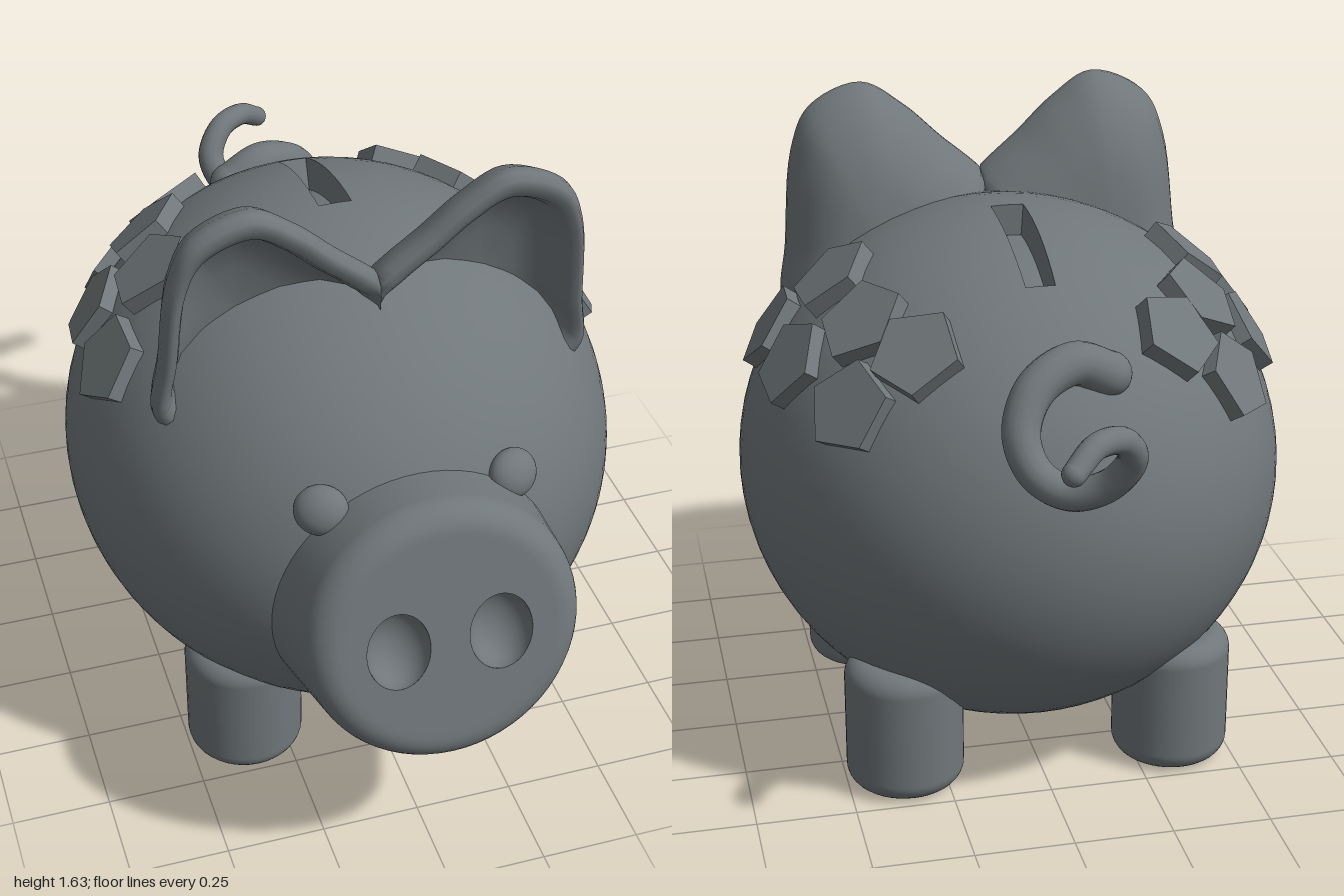
import * as THREE from 'three';
import { mergeGeometries } from 'three/addons/utils/BufferGeometryUtils.js';

const clay = new THREE.MeshStandardMaterial({ color: 0x70777a, side: THREE.DoubleSide });
clay.name = 'slateClay';

// Body ellipsoid
const C = new THREE.Vector3(0, 0.72, 0.03);
const R = new THREE.Vector3(0.7, 0.67, 0.755);

function add(parent, name, geometry) {
  const mesh = new THREE.Mesh(geometry, clay);
  mesh.name = name;
  parent.add(mesh);
  return mesh;
}

function faceted(geometry) {
  const g = geometry.index ? geometry.toNonIndexed() : geometry;
  g.computeVertexNormals();
  return g;
}

const bodyNormal = (p) => p.clone().sub(C).divide(R).divide(R).normalize();

// Profile of a quarter round, from angle a0 to a1
function arc(cx, cy, r, a0, a1, n = 8) {
  return Array.from({ length: n + 1 }, (_, i) => {
    const a = a0 + (a1 - a0) * i / n;
    return new THREE.Vector2(cx + r * Math.cos(a), cy + r * Math.sin(a));
  });
}

// Ellipsoid shell left open at the coin slot, with slot walls and floor
function buildBody(group) {
  const half = 0.06, top = Math.PI * 1.5, deg = Math.PI / 180, depth = 0.12;
  const place = (g) => g.scale(R.x, R.y, R.z).translate(C.x, C.y, C.z);
  const patch = (phi, len, seg, t0, t1, r = 1) => place(
    new THREE.SphereGeometry(r, seg, (t1 - t0) / 3.75, phi, len, t0 * deg, (t1 - t0) * deg).rotateX(Math.PI / 2));
  add(group, 'body', mergeGeometries([
    patch(top + half, Math.PI * 2 - 2 * half, 72, 0, 180),
    patch(top - half, 2 * half, 2, 0, 90),
    patch(top - half, 2 * half, 2, 120, 180),
  ]));
  add(group, 'coinSlotFloor', patch(top - half, 2 * half, 2, 90, 120, 1 - depth));
  const corners = [[-half, 90], [half, 90], [half, 120], [-half, 120], [-half, 90]];
  const walls = new THREE.PlaneGeometry(1, 1, 32, 1);
  const pos = walls.attributes.position;
  for (let i = 0; i < pos.count; i++) {
    const u = (pos.getX(i) + 0.5) * 4, k = Math.min(3, Math.floor(u + 1e-6)), f = u - k;
    const a = corners[k][0] + (corners[k + 1][0] - corners[k][0]) * f;
    const t = (corners[k][1] + (corners[k + 1][1] - corners[k][1]) * f) * deg;
    const r = pos.getY(i) > 0 ? 1 : 1 - depth;
    pos.setXYZ(i, r * Math.sin(t) * Math.sin(a), r * Math.sin(t) * Math.cos(a), r * Math.cos(t));
  }
  add(group, 'coinSlotWalls', faceted(place(walls)));
}

// Tilted cone snout with two hollow nostrils
function buildSnout(group) {
  const snout = new THREE.Group();
  snout.name = 'snout';
  snout.position.set(0, 0.75, 0.935);
  snout.rotation.x = 1.334;
  group.add(snout);
  const profile = [new THREE.Vector2(0.38, -0.5), new THREE.Vector2(0.37, -0.4),
    ...arc(0.265, -0.07, 0.07, 0.1, Math.PI / 2), new THREE.Vector2(0.25, 0)];
  add(snout, 'snoutSide', new THREE.LatheGeometry(profile, 64));
  const disc = new THREE.Shape().absarc(0, 0, 0.25, 0, Math.PI * 2);
  for (const s of [-1, 1]) {
    disc.holes.push(new THREE.Path().absellipse(s * 0.125, -0.01, 0.077, 0.098, 0, Math.PI * 2));
    const bowl = new THREE.SphereGeometry(1, 48, 16, 0, Math.PI * 2, Math.PI / 2, Math.PI / 2);
    add(snout, 'nostril', bowl.scale(0.077, 0.07, 0.098)).position.set(s * 0.125, 0, 0.01);
  }
  add(snout, 'snoutFace', new THREE.ShapeGeometry(disc, 32).rotateX(-Math.PI / 2));
}

// Cupped ear: one outline lofted from the back, over the rim, into the hollow
function earGeometry() {
  const outline = new THREE.CatmullRomCurve3([
    [0.545, 1.08], [0.53, 1.22], [0.502, 1.47], [0.45, 1.58], [0.31, 1.637], [0.2, 1.575],
    [0.1, 1.485], [0, 1.4], [-0.07, 1.32], [0.02, 1.15], [0.25, 1.02], [0.5, 1.03],
  ].map(([x, y]) => new THREE.Vector3(x, y, 0)), true, 'centripetal').getPoints(72);
  // scale about the ear's middle, depth
  const rings = [[0, 0.185], [0.35, 0.19], [0.6, 0.21], [0.8, 0.25], [0.93, 0.295], [0.99, 0.34],
    [0.99, 0.365], [0.95, 0.385], [0.88, 0.39], [0.81, 0.375], [0.76, 0.345], [0.72, 0.305],
    [0.6, 0.27], [0.35, 0.25], [0, 0.245]];
  const g = new THREE.PlaneGeometry(1, 1, 72, rings.length - 1);
  const pos = g.attributes.position;
  for (let i = 0; i < pos.count; i++) {
    const [s, z] = rings[Math.floor(i / 73)], p = outline[i % 73];
    const y = 1.28 + (p.y - 1.28) * s;
    pos.setXYZ(i, Math.max(0, 0.31 + (p.x - 0.31) * s), y, z + 0.11 * (y - 1.28));
  }
  g.computeVertexNormals();
  return g;
}

// Curly tail: a tube that narrows to the tip, with round ends
function buildTail(group) {
  const path = new THREE.CatmullRomCurve3([
    [-0.12, 1.14, -0.54], [-0.03, 1.18, -0.56], [0.07, 1.14, -0.6], [0.115, 1.05, -0.65],
    [0.09, 0.97, -0.7], [0.02, 0.935, -0.745], [-0.06, 0.97, -0.79], [-0.1, 1.05, -0.835],
    [-0.06, 1.115, -0.88], [0.01, 1.125, -0.925], [0.07, 1.085, -0.97],
  ].map((p) => new THREE.Vector3(...p)));
  const N = 96, M = 16, r0 = 0.055, r1 = 0.028;
  const tube = new THREE.TubeGeometry(path, N, r0, M);
  const pos = tube.attributes.position, v = new THREE.Vector3();
  for (let i = 0; i < pos.count; i++) {
    const t = Math.floor(i / (M + 1)) / N, c = path.getPointAt(t);
    v.fromBufferAttribute(pos, i).sub(c).multiplyScalar(1 + (r1 / r0 - 1) * t).add(c);
    pos.setXYZ(i, v.x, v.y, v.z);
  }
  add(group, 'tail', tube);
  add(group, 'tailRoot', new THREE.SphereGeometry(r0, 24, 16)).position.copy(path.getPoint(0));
  add(group, 'tailTip', new THREE.SphereGeometry(r1, 24, 16)).position.copy(path.getPoint(1));
}

export function createModel() {
  const model = new THREE.Group();
  model.name = 'piggyBank';
  buildBody(model);
  buildSnout(model);
  buildTail(model);

  const leg = new THREE.LatheGeometry([new THREE.Vector2(0, 0), ...arc(0.1, 0.05, 0.05, -Math.PI / 2, 0),
    ...arc(0.1, 0.3, 0.05, 0, Math.PI / 2), new THREE.Vector2(0, 0.35)], 40);
  const ear = earGeometry();
  const eye = new THREE.SphereGeometry(1, 32, 20).scale(0.065, 0.06, 0.042);
  const tile = faceted(new THREE.CylinderGeometry(0.115, 0.115, 0.06, 5).rotateX(Math.PI / 2));
  // z, y and spin of each five-sided tile on the flank
  const tiles = [[0.1, 1.08, 0.1], [-0.02, 1.235, 0.6], [-0.15, 1.075, 0.35],
    [-0.26, 1.2, 0.0], [-0.4, 1.045, 0.75], [-0.42, 1.17, 0.3]];

  for (const s of [-1, 1]) {
    const side = s > 0 ? 'left' : 'right';
    add(model, side + 'FrontLeg', leg).position.set(s * 0.35, 0, 0.36);
    add(model, side + 'BackLeg', leg).position.set(s * 0.35, 0, -0.35);
    add(model, side + 'Ear', ear).scale.x = s;

    const eyeMesh = add(model, side + 'Eye', eye);
    eyeMesh.position.set(s * 0.235, 0.99, 0.685);
    eyeMesh.lookAt(bodyNormal(eyeMesh.position).add(eyeMesh.position));

    tiles.forEach(([z, y, spin], i) => {
      const x = R.x * Math.sqrt(1 - ((y - C.y) / R.y) ** 2 - ((z - C.z) / R.z) ** 2);
      const mesh = add(model, side + 'FlankTile', tile);
      mesh.position.set(s * x, y, z);
      const n = bodyNormal(mesh.position);
      mesh.lookAt(n.clone().add(mesh.position));
      mesh.rotateZ(s * spin);
      mesh.position.addScaledVector(n, (i % 2) * 0.006);
    });
  }
  return model;
}
